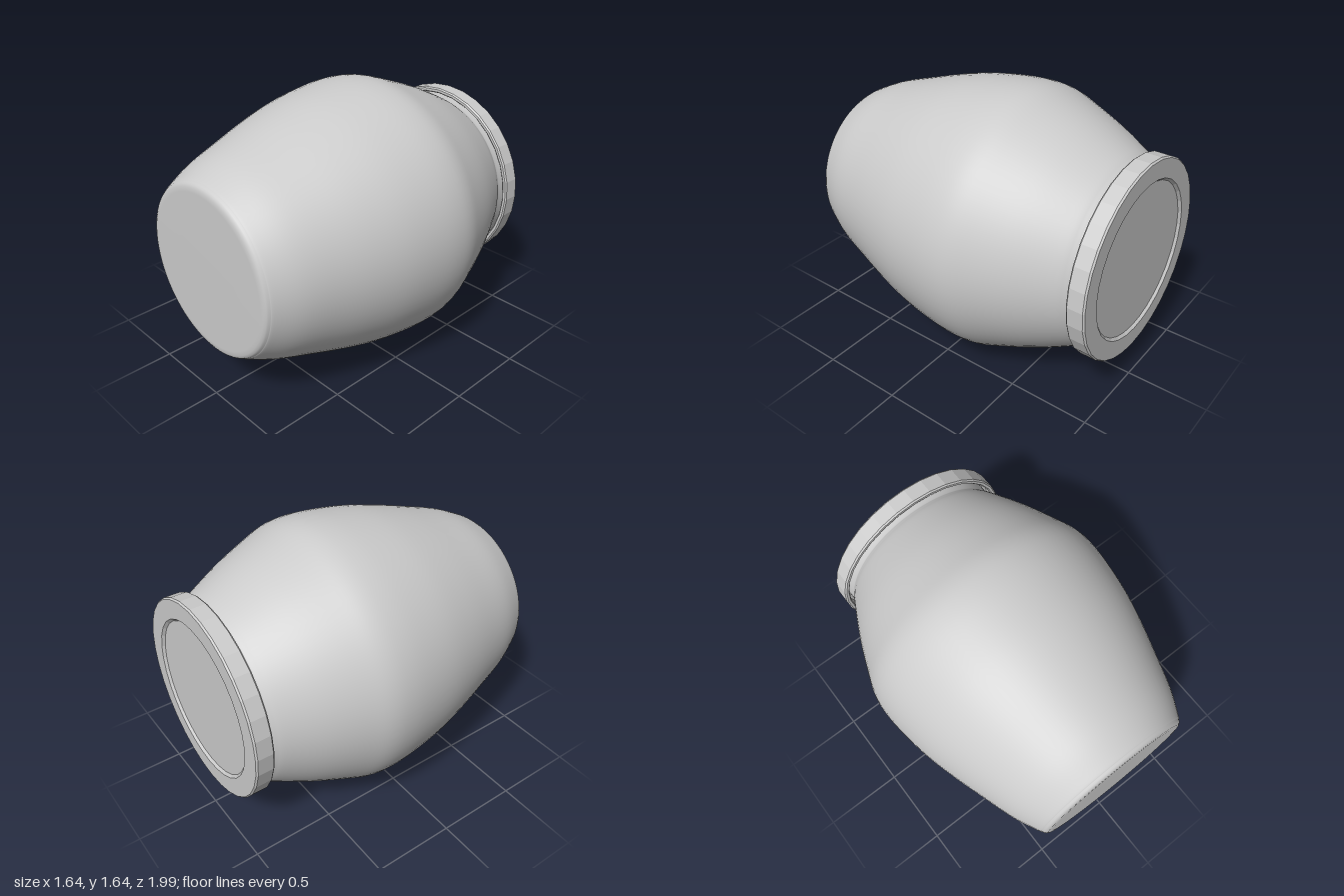
import * as THREE from 'three';

const CENTRE_Y = 0.822;

// Revolve [radius, height] pairs, then lay the axis along z (height -> -z)
function revolve(name, points, segments, material) {
  const geometry = new THREE.LatheGeometry(points, segments);
  geometry.rotateX(-Math.PI / 2);
  const mesh = new THREE.Mesh(geometry, material);
  mesh.name = name;
  return mesh;
}

const toVectors = (pairs) => pairs.map(([r, h]) => new THREE.Vector2(r, h));

export function createModel() {
  const smooth = new THREE.MeshStandardMaterial({ color: 0xcccccc, side: THREE.DoubleSide });
  const faceted = new THREE.MeshStandardMaterial({ color: 0xcccccc, flatShading: true });

  const jar = new THREE.Group();
  jar.name = 'jar';

  // Jar body: flat base, rounded foot, swelling shoulder, neck inside the lid
  const base = toVectors([[0, -0.993], [0.25, -0.993], [0.46, -0.992], [0.485, -0.99], [0.5, -0.983], [0.507, -0.975]]);
  const side = new THREE.SplineCurve(toVectors([
    [0.512, -0.965], [0.528, -0.94], [0.594, -0.8], [0.66, -0.6], [0.723, -0.4], [0.775, -0.2],
    [0.807, 0], [0.818, 0.15], [0.807, 0.27], [0.763, 0.4], [0.684, 0.6], [0.587, 0.8],
    [0.555, 0.855], [0.545, 0.88], [0.545, 0.96],
  ])).getPoints(64);
  jar.add(revolve('jarBody', [...base, ...side], 72, smooth));

  // Lid: hollow skirt, bevelled rim and shallow sunken top panel
  const lid = toVectors([
    [0, 0.96], [0.565, 0.96], [0.565, 0.895], [0.572, 0.888], [0.588, 0.888], [0.596, 0.897],
    [0.596, 0.99], [0.588, 1], [0.475, 1], [0.46, 0.985], [0, 0.985],
  ]);
  jar.add(revolve('lid', lid, 32, faceted));

  jar.position.y = CENTRE_Y;
  const model = new THREE.Group();
  model.name = 'lyingJar';
  model.add(jar);
  return model;
}
